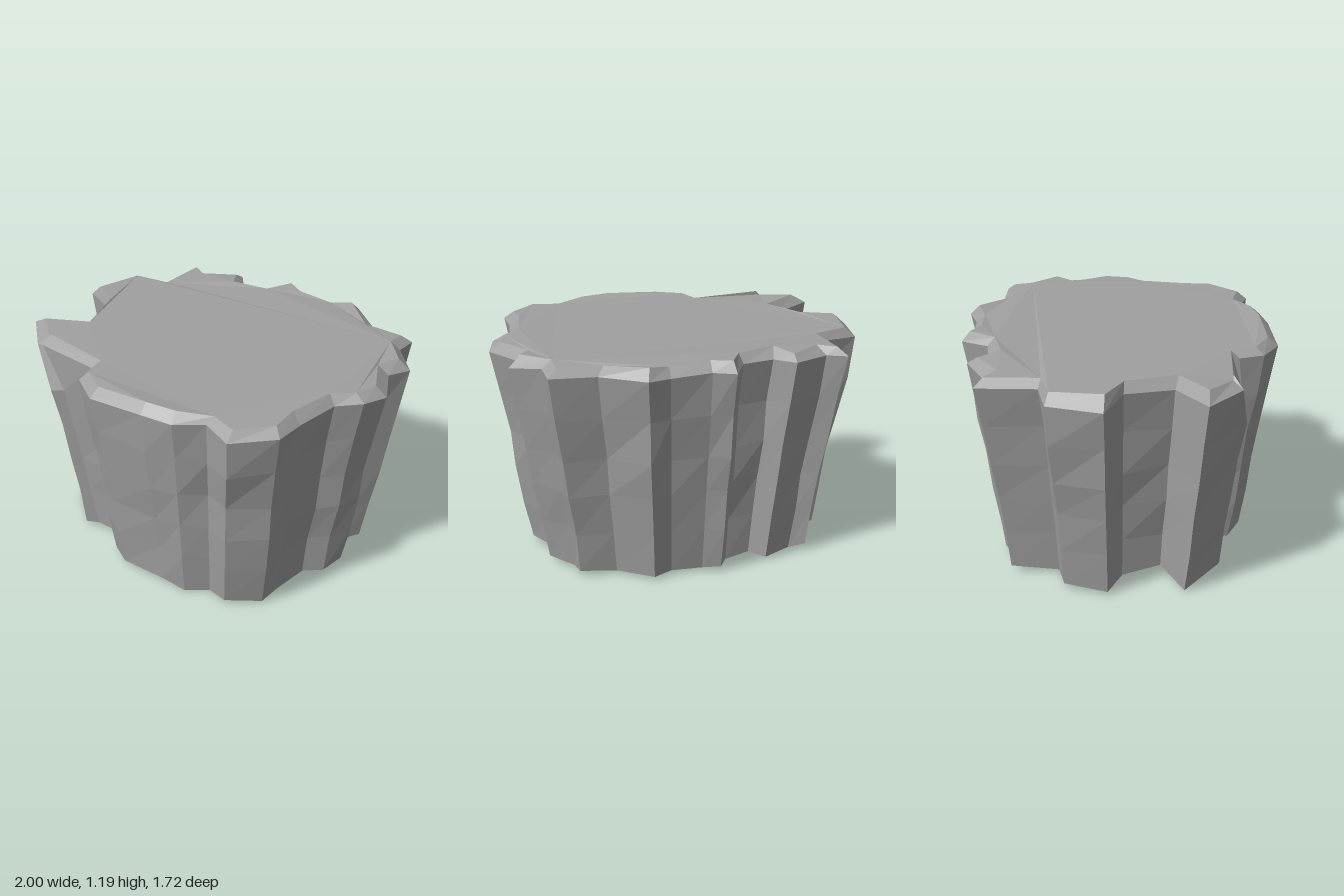
import * as THREE from 'three';

// Rim outline (x, z), clockwise seen from above
const OUTER = [
  [-0.775, -0.655], [-0.67, -0.615], [-0.475, -0.74], [-0.38, -0.645], [-0.215, -0.68], [-0.145, -0.83],
  [-0.03, -0.79], [0.18, -0.81], [0.3, -0.865], [0.52, -0.715], [0.76, -0.72], [0.775, -0.58],
  [0.925, -0.46], [0.875, -0.34], [1, -0.145], [0.97, 0.005], [0.87, 0.11], [0.855, 0.355],
  [0.87, 0.525], [0.705, 0.71], [0.535, 0.665], [0.41, 0.775], [0.24, 0.815], [-0.075, 0.855],
  [-0.245, 0.775], [-0.295, 0.645], [-0.68, 0.645], [-0.71, 0.655], [-0.925, 0.49], [-0.7, 0.325],
  [-0.8, 0.08], [-1, 0], [-0.95, -0.285], [-0.755, -0.34],
];
// Edge of the top plateau, inside the bevel
const INNER = [
  [-0.73, -0.61], [-0.635, -0.56], [-0.475, -0.685], [-0.4, -0.575], [-0.2, -0.64], [-0.135, -0.785],
  [-0.03, -0.74], [0.18, -0.76], [0.285, -0.81], [0.485, -0.67], [0.715, -0.675], [0.725, -0.565],
  [0.865, -0.435], [0.815, -0.325], [0.935, -0.14], [0.91, -0.01], [0.825, 0.09], [0.8, 0.345],
  [0.82, 0.49], [0.695, 0.655], [0.545, 0.625], [0.39, 0.725], [0.23, 0.765], [-0.07, 0.8],
  [-0.22, 0.73], [-0.27, 0.6], [-0.65, 0.605], [-0.67, 0.605], [-0.835, 0.49], [-0.64, 0.34],
  [-0.755, 0.08], [-0.925, 0], [-0.895, -0.27], [-0.71, -0.33],
];
// Height and scale of each ring below the rim
const LEVELS = [[0.025, 0.81], [0.25, 0.845], [0.47, 0.885], [0.68, 0.92], [0.91, 0.96], [1.13, 1]];
// A small rib that swells out below the rim
const RIB = { 26: [-0.55, 0.66], 27: [-0.62, 0.715] };

// Repeatable value from -1 to 1
function wobble(a, b) {
  const s = Math.sin(a * 12.9898 + b * 78.233) * 43758.5453;
  return (s - Math.floor(s)) * 2 - 1;
}

function flatMesh(name, triangles, material) {
  const geometry = new THREE.BufferGeometry().setFromPoints(triangles);
  geometry.computeVertexNormals();
  const mesh = new THREE.Mesh(geometry, material);
  mesh.name = name;
  return mesh;
}

// Faces between two rings, pointing outward
function band(lower, upper) {
  const out = [];
  lower.forEach((p, i) => {
    const j = (i + 1) % lower.length;
    out.push(lower[j], p, upper[i], lower[j], upper[i], upper[j]);
  });
  return out;
}

// Fills a ring, facing up (1) or down (-1)
function cap(ring, facing) {
  const contour = ring.map((p) => new THREE.Vector2(p.x, p.z));
  return THREE.ShapeUtils.triangulateShape(contour, []).flatMap(([a, b, c]) => {
    const [p, q, r] = [ring[a], ring[b], ring[c]];
    const up = (q.z - p.z) * (r.x - p.x) - (q.x - p.x) * (r.z - p.z);
    return up * facing > 0 ? [p, q, r] : [p, r, q];
  });
}

export function createModel() {
  const group = new THREE.Group();
  group.name = 'rock';
  const stone = new THREE.MeshStandardMaterial({ color: 0xa0a0a0 });
  stone.name = 'grey stone';

  // Side rings, tapering toward the ground with slight irregularity
  const rings = LEVELS.map(([y, scale], level) => OUTER.map((point, i) => {
    const rim = level === LEVELS.length - 1;
    const [x, z] = (!rim && RIB[i]) || point;
    const middle = !rim && level > 0;
    const k = scale + (middle ? 0.014 * wobble(i, level) : 0);
    return new THREE.Vector3(x * k, y + (level === 0 ? 0.022 : 0.012) * wobble(i, level + 9), z * k);
  }));
  const lowest = Math.min(...rings[0].map((p) => p.y));
  rings[0].forEach((p) => { p.y -= lowest; });
  const plateau = INNER.map(([x, z], i) => new THREE.Vector3(x, 1.177 + 0.012 * wobble(i, 3), z));

  const sides = rings.slice(1).flatMap((ring, i) => band(rings[i], ring));
  group.add(
    flatMesh('rockSides', sides, stone),
    flatMesh('bevelledRim', band(rings[rings.length - 1], plateau), stone),
    flatMesh('topPlateau', cap(plateau, 1), stone),
    flatMesh('underside', cap(rings[0], -1), stone),
  );
  return group;
}
